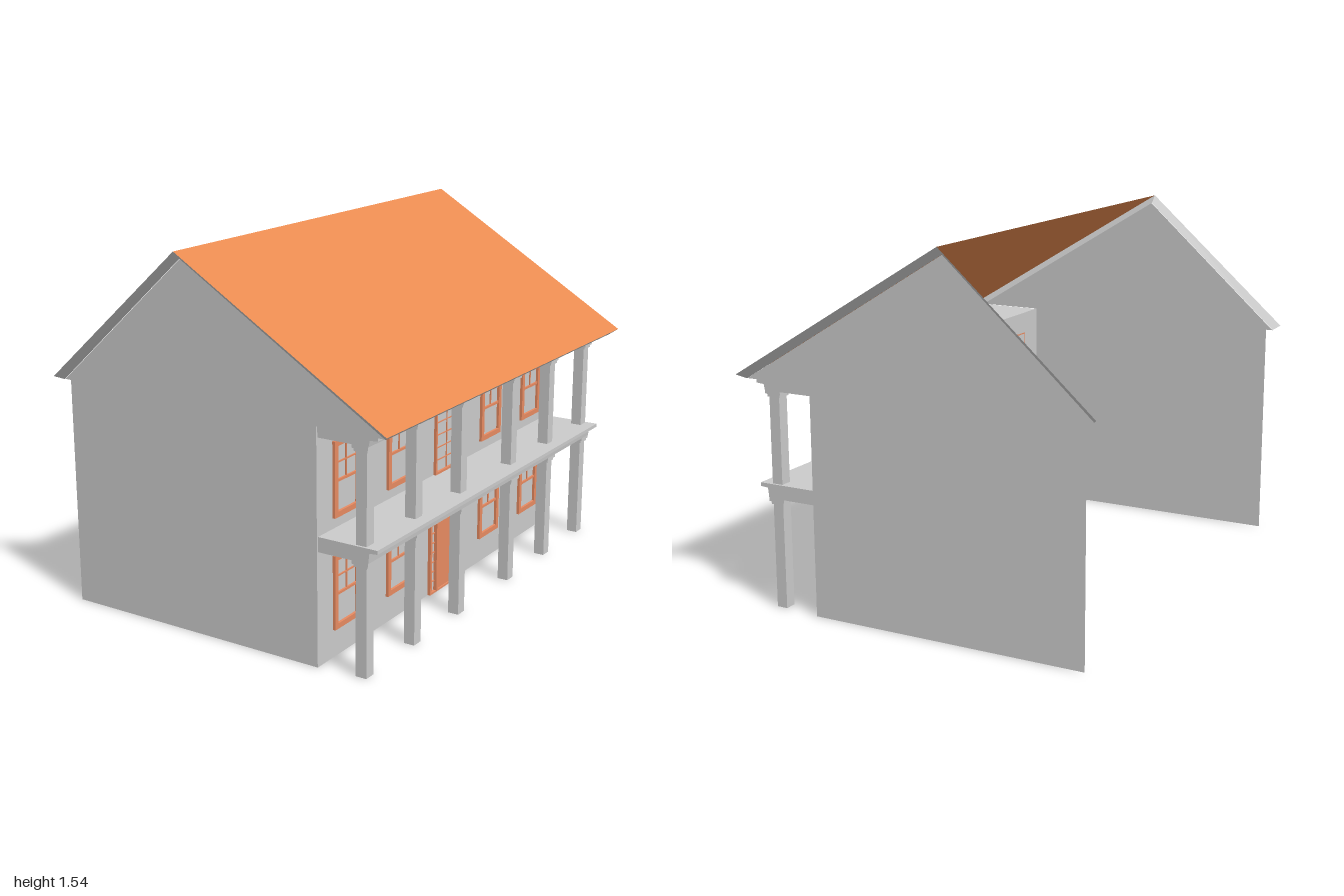
import * as THREE from 'three';

const make = (color) => new THREE.MeshStandardMaterial({ color, side: THREE.DoubleSide, flatShading: true });
const grey = make(0xcccccc), wood = make(0xe88b62), tile = make(0xe88b50);

function add(parent, name, geo, mat, x = 0, y = 0, z = 0) {
  const m = new THREE.Mesh(geo, mat);
  m.name = name;
  m.position.set(x, y, z);
  parent.add(m);
  return m;
}
// box given by its two extreme corners
function box(parent, name, mat, x0, x1, y0, y1, z0, z1) {
  return add(parent, name, new THREE.BoxGeometry(x1 - x0, y1 - y0, z1 - z0), mat,
    (x0 + x1) / 2, (y0 + y1) / 2, (z0 + z1) / 2);
}
const poly = (pts) => new THREE.Shape(pts.map(([x, y]) => new THREE.Vector2(x, y)));
const rect = (x0, x1, y0, y1) => poly([[x0, y0], [x1, y0], [x1, y1], [x0, y1]]);
function arch(r, y0, spring) {
  const s = new THREE.Shape();
  s.moveTo(-r, y0);
  s.lineTo(r, y0);
  s.lineTo(r, spring);
  s.absarc(0, spring, r, 0, Math.PI, false);
  s.closePath();
  return s;
}
// frame: outer outline with the inner outline cut out
function frame(parent, name, outer, inner, depth) {
  outer.holes.push(inner);
  return add(parent, name, new THREE.ExtrudeGeometry(outer, { depth, bevelEnabled: false, curveSegments: 16 }), wood);
}
const pane = (parent, shape) => add(parent, 'glass', new THREE.ShapeGeometry(shape, 16), grey, 0, 0, 0.001);

// sash window, centred on u, bottom at y0
function sashWindow(parent, u, y0) {
  const g = new THREE.Group();
  g.name = 'sashWindow';
  g.position.set(u, y0, 0);
  const w = 0.0885, h = 0.302, t = 0.022;
  frame(g, 'windowFrame', rect(-w, w, 0, h), rect(-w + t, w - t, t, h - t), 0.012);
  pane(g, rect(-w + t, w - t, t, h - t));
  box(g, 'meetingRail', wood, -w + t, w - t, 0.138, 0.148, 0, 0.009);
  box(g, 'verticalBar', wood, -0.003, 0.003, 0.148, h - t, 0, 0.006);
  box(g, 'horizontalBar', wood, -w + t, w - t, 0.211, 0.217, 0, 0.006);
  parent.add(g);
}

function archedWindow(parent) {
  const g = new THREE.Group();
  g.name = 'archedWindow';
  frame(g, 'archedFrame', arch(0.1, 0.525, 0.8), arch(0.09, 0.535, 0.8), 0.012);
  pane(g, arch(0.09, 0.535, 0.8));
  for (let i = 1; i <= 6; i++) {
    const y = 0.53 + i * 0.054, half = Math.sqrt(0.0081 - Math.max(0, y - 0.8) ** 2);
    box(g, 'horizontalBar', wood, -half, half, y - 0.002, y + 0.002, 0, 0.005);
  }
  box(g, 'verticalBar', wood, -0.002, 0.002, 0.535, 0.89, 0, 0.005);
  parent.add(g);
}

function entrance(parent) {
  const g = new THREE.Group(), spring = 0.32;
  g.name = 'entrance';
  frame(g, 'doorSurround', arch(0.138, 0.002, spring), arch(0.125, 0.01, spring), 0.014);
  pane(g, arch(0.125, 0.01, spring));
  box(g, 'transom', wood, -0.125, 0.125, 0.308, 0.326, 0, 0.014);
  box(g, 'door', wood, -0.075, 0.075, 0.008, 0.308, 0, 0.008);
  for (const s of [-1, 1]) {
    box(g, 'doorPost', wood, s * 0.082 - 0.008, s * 0.082 + 0.008, 0.004, 0.308, 0, 0.016);
    // sidelight bars
    for (let i = 1; i < 7; i++) {
      const y = 0.01 + i * 0.043;
      box(g, 'sidelightBar', wood, s * 0.108 - 0.018, s * 0.108 + 0.018, y - 0.002, y + 0.002, 0, 0.006);
    }
  }
  // fanlight: spokes and inner arc
  for (let i = 1; i < 8; i++) {
    const a = (i * Math.PI) / 8;
    const bar = add(g, 'fanSpoke', new THREE.BoxGeometry(0.095, 0.004, 0.006), wood,
      0.0775 * Math.cos(a), spring + 0.0775 * Math.sin(a), 0.003);
    bar.rotation.z = a;
  }
  for (const r of [0.032, 0.09]) {
    add(g, 'fanArc', new THREE.RingGeometry(r - 0.002, r + 0.002, 20, 1, 0, Math.PI), wood, 0, spring, 0.006);
  }
  parent.add(g);
}

export function createModel() {
  const house = new THREE.Group();
  house.name = 'house';
  const Z = 0.96;

  // gable ends
  for (const z of [-Z, Z]) {
    add(house, 'endWall', new THREE.ShapeGeometry(rect(-0.735, 0.46, 0, 0.953)), grey, 0, 0, z);
    add(house, 'gable', new THREE.ShapeGeometry(poly([[-0.765, 0.953], [0.758, 0.953], [-0.15, 1.507]])), grey, 0, 0, z);
  }

  // porch-side wall with its openings, drawn flat and turned to face +x
  const facade = new THREE.Group();
  facade.name = 'facade';
  facade.rotation.y = Math.PI / 2;
  facade.position.x = 0.46;
  house.add(facade);
  const wall = rect(-Z, Z, 0, 0.953);
  for (const u of [-0.767, -0.384, 0.384, 0.767]) {
    for (const y of [0.115, 0.568]) {
      sashWindow(facade, u, y);
      wall.holes.push(rect(u - 0.072, u + 0.072, y + 0.016, y + 0.286));
    }
  }
  archedWindow(facade);
  entrance(facade);
  wall.holes.push(arch(0.094, 0.531, 0.8), arch(0.13, 0.005, 0.32));
  add(facade, 'facadeWall', new THREE.ShapeGeometry(wall, 16), grey);

  // two porch levels: deck with cornice, carried by six columns
  const E = 0.953;
  for (const [base, shaftTop, deckTop] of [[0, 0.44, 0.525], [0.525, 0.885, 0.953]]) {
    const soffit = shaftTop + 0.025;
    const profile = poly([[0.46, soffit], [0.68, soffit], [0.685, deckTop - 0.018], [0.72, deckTop - 0.015],
      [0.72, deckTop], [0.46, deckTop]]);
    add(house, 'porchDeck', new THREE.ExtrudeGeometry(profile, { depth: 2 * E, bevelEnabled: false }), grey, 0, 0, -E);
    for (const s of [-1, 1]) {
      for (const zc of [0.218, 0.57, 0.918]) {
        const z = s * zc;
        box(house, 'column', grey, 0.62, 0.667, base, shaftTop, z - 0.025, z + 0.025);
        box(house, 'capitalNeck', grey, 0.614, 0.673, shaftTop, shaftTop + 0.012, z - 0.03, z + 0.03);
        box(house, 'capital', grey, 0.608, 0.679, shaftTop + 0.012, soffit, z - 0.035, z + 0.035);
      }
    }
  }

  // roof slope over the porch side
  const ridge = [-0.15, 1.54], eave = [0.785, 0.973];
  const quad = (a, b, c, d) => [...a, ...b, ...c, ...a, ...c, ...d];
  const mesh = (name, pos, mat) => {
    const geo = new THREE.BufferGeometry();
    geo.setAttribute('position', new THREE.Float32BufferAttribute(pos, 3));
    geo.computeVertexNormals();
    add(house, name, geo, mat);
  };
  mesh('roofSlope', quad([...ridge, 1], [...eave, 1], [...eave, -1], [...ridge, -1]), tile);

  // slanted trim under the roof edge, running along both rakes and the eave
  const outer = [[-0.79, 0.97], ridge, eave], inner = [[-0.765, 0.953], [-0.15, 1.507], [0.758, 0.953]];
  const loop = (pts, z) => [...pts.map((p) => [...p, z]), ...pts.slice().reverse().map((p) => [...p, -z])];
  const o = loop(outer, 1), n = loop(inner, 0.964);
  const trim = [];
  for (let i = 0; i < o.length - 1; i++) trim.push(...quad(n[i], n[i + 1], o[i + 1], o[i]));
  mesh('roofTrim', trim, grey);

  return house;
}
